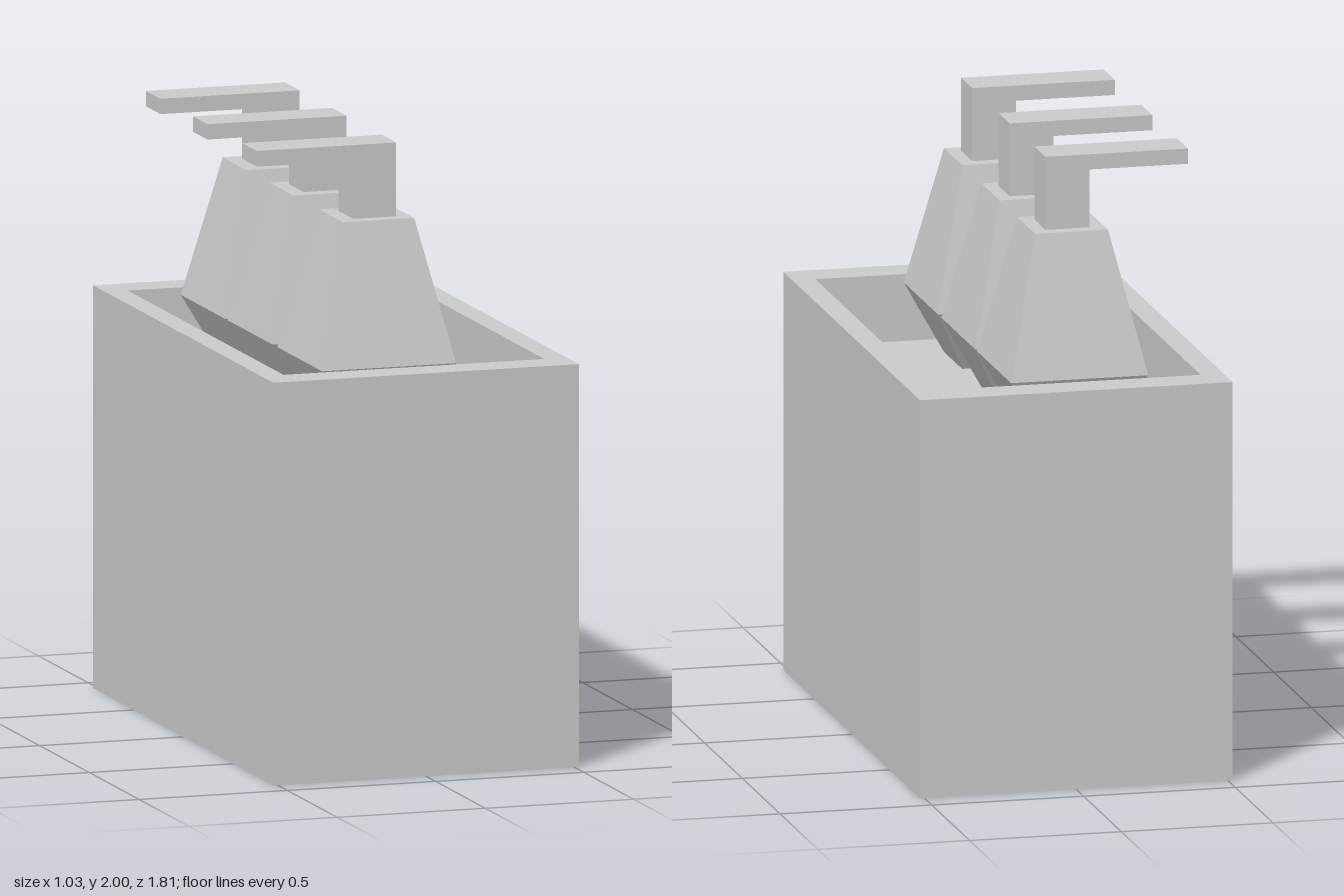
import * as THREE from 'three';

const material = new THREE.MeshStandardMaterial({ color: 0xcccccc, flatShading: true });

const RIM_Y = 1.31, FLOOR_Y = 1.09, SHOULDER_Y = 1.3, NECK_Y = 1.76, TOP_Y = 2;

function part(name, geometry, parent) {
  const mesh = new THREE.Mesh(geometry, material);
  mesh.name = name;
  parent.add(mesh);
  return mesh;
}

// Square frustum between two heights, given half widths at top and bottom
function frustum(topHalf, bottomHalf, y0, y1, openTop) {
  const g = new THREE.CylinderGeometry(topHalf * Math.SQRT2, bottomHalf * Math.SQRT2, y1 - y0, 4, 1, openTop);
  g.rotateY(Math.PI / 4);
  g.translate(0, (y0 + y1) / 2, 0);
  return g;
}

function rectPoints(x, z) {
  return [[-x, -z], [x, -z], [x, z], [-x, z]].map(([a, b]) => new THREE.Vector2(a, b));
}

export function createModel() {
  const model = new THREE.Group();
  model.name = 'soapDispenserCaddy';

  // Solid lower body, its top is the tray floor
  part('boxBody', new THREE.BoxGeometry(1.03, FLOOR_Y, 1.81), model).position.y = FLOOR_Y / 2;

  // Walls around the recessed tray
  const wallShape = new THREE.Shape(rectPoints(0.515, 0.905));
  wallShape.holes.push(new THREE.Path(rectPoints(0.44, 0.783)));
  const walls = new THREE.ExtrudeGeometry(wallShape, { depth: RIM_Y - FLOOR_Y, bevelEnabled: false });
  walls.rotateX(-Math.PI / 2);
  part('boxWalls', walls, model).position.y = FLOOR_Y;

  // L-shaped pump: square stem with a flat spout toward -x
  const pumpShape = new THREE.Shape([
    [-0.07, NECK_Y], [0.075, NECK_Y], [0.075, TOP_Y], [-0.395, TOP_Y], [-0.395, 1.95], [-0.07, 1.95],
  ].map(([x, y]) => new THREE.Vector2(x, y)));
  const pump = new THREE.ExtrudeGeometry(pumpShape, { depth: 0.146, bevelEnabled: false });
  pump.translate(0, 0, -0.073);

  const upper = frustum(0.12, 0.226, SHOULDER_Y, NECK_Y, false);
  const lower = frustum(0.226, 0.12, FLOOR_Y, SHOULDER_Y, true);

  // Three bottles in a row
  for (const z of [0.487, -0.01, -0.482]) {
    const bottle = new THREE.Group();
    bottle.name = 'bottle';
    bottle.position.set(-0.06, 0, z);
    part('bottleUpper', upper, bottle);
    part('bottleLower', lower, bottle);
    part('pump', pump, bottle);
    model.add(bottle);
  }
  return model;
}
